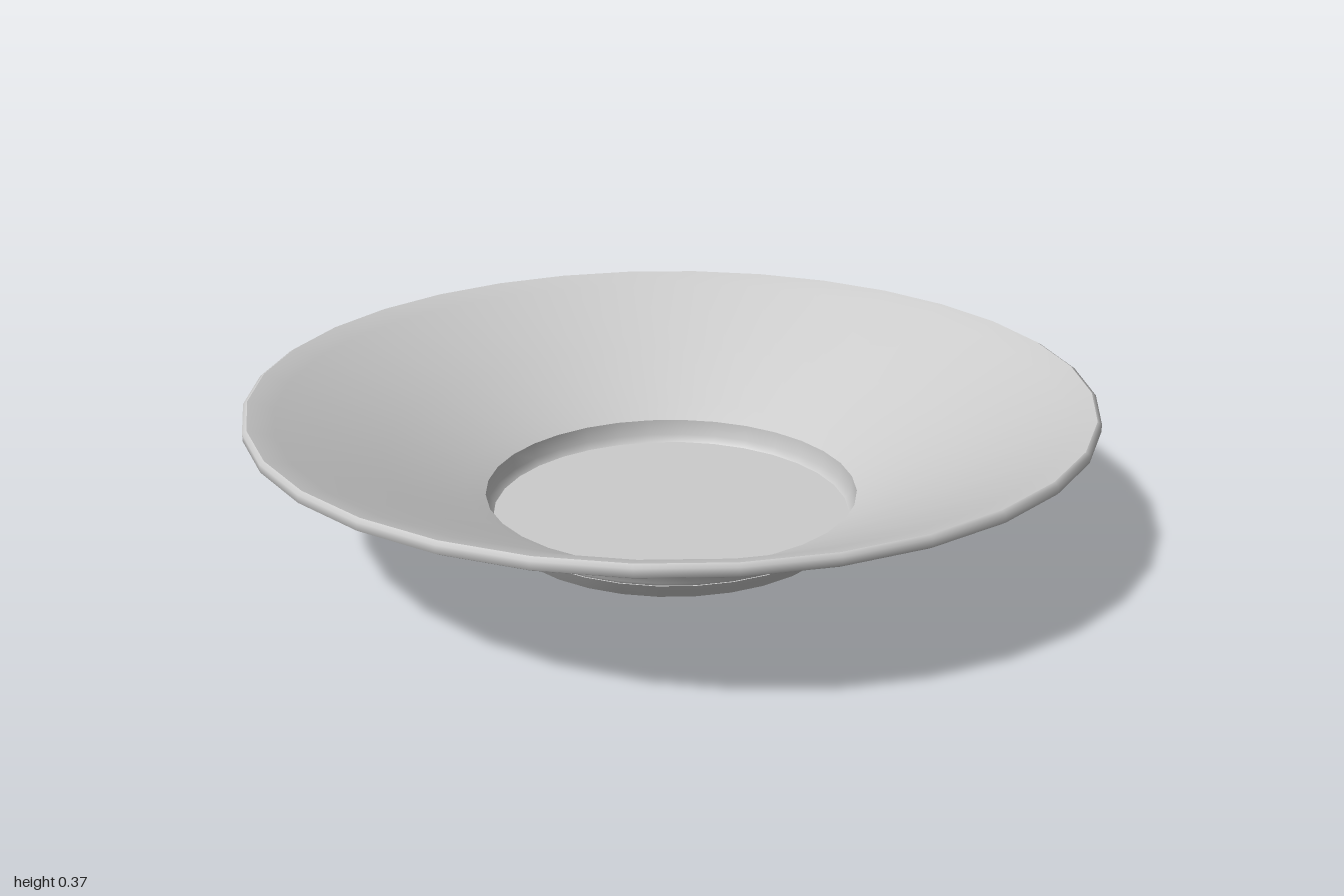
import * as THREE from 'three';

const SIDES = 32;

export function createModel() {
  const dish = new THREE.Group();
  dish.name = 'dish';
  const material = new THREE.MeshStandardMaterial({ color: 0xcccccc });

  // Turns a [radius, height] profile; outer faces run upward, inner faces downward
  const turn = (name, profile) => {
    const points = profile.map(([r, y]) => new THREE.Vector2(r, y));
    const mesh = new THREE.Mesh(new THREE.LatheGeometry(points, SIDES), material);
    mesh.name = name;
    dish.add(mesh);
  };

  // Flat underside and the stepped foot that flows into the flared wall
  turn('underside', [[0, 0], [0.4, 0.003]]);
  turn('outerWall', [
    [0.4, 0.003], [0.418, 0.012], [0.43, 0.045], [0.452, 0.062],
    [0.453, 0.1], [0.69, 0.219], [0.93, 0.34],
  ]);

  // Thin rim band with softened edges
  turn('rim', [
    [0.93, 0.34], [0.99, 0.34], [1, 0.346], [1, 0.364], [0.99, 0.37],
  ]);

  // Sloping inside, well step and flat floor
  turn('innerWall', [
    [0.99, 0.37], [0.93, 0.349], [0.69, 0.227], [0.5, 0.131], [0.452, 0.105],
  ]);
  turn('wellStep', [[0.452, 0.105], [0.45, 0.064], [0.436, 0.047]]);
  turn('floor', [[0.436, 0.047], [0, 0.047]]);

  return dish;
}
